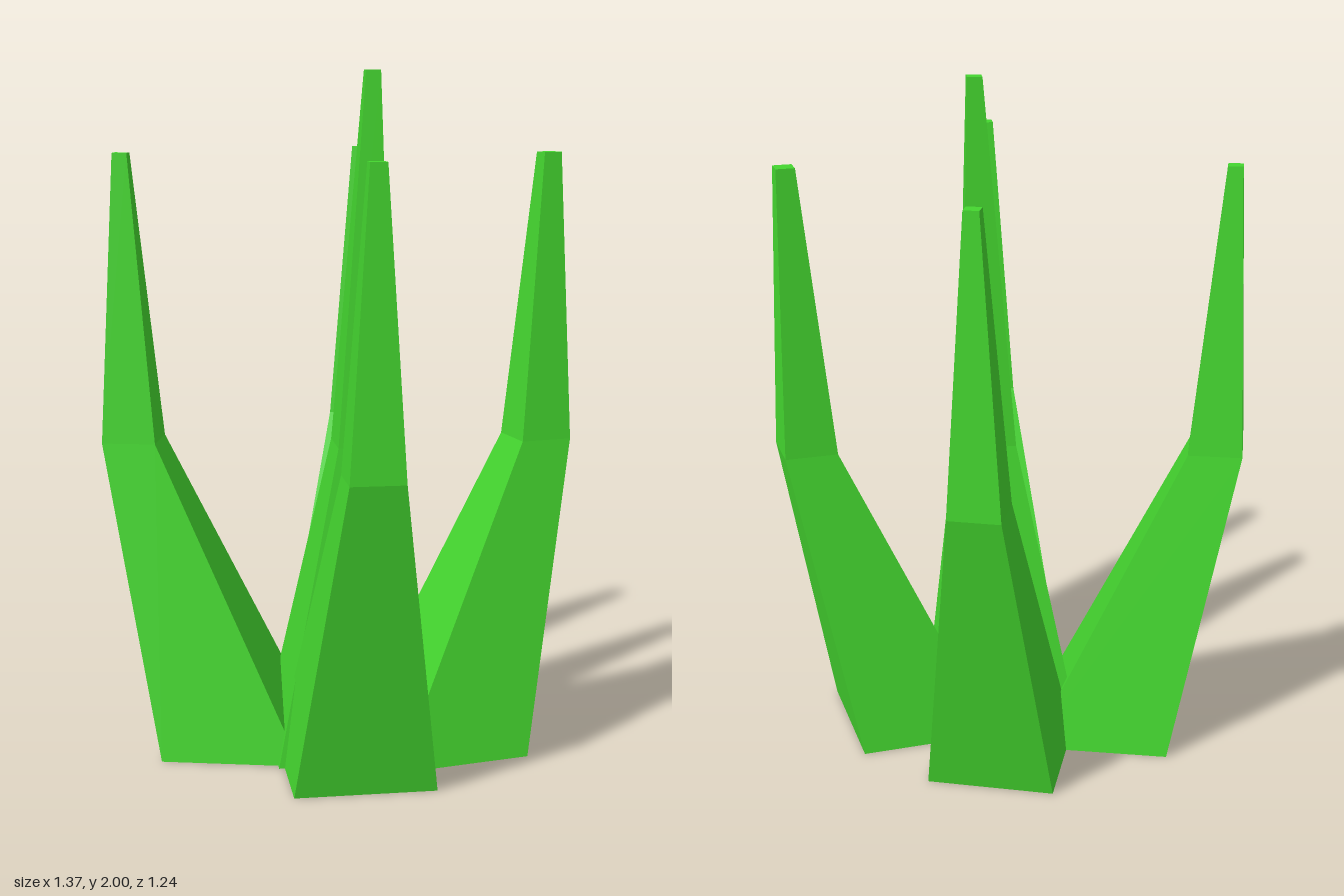
import * as THREE from 'three';

const MID_Y = 0.925;
const material = new THREE.MeshStandardMaterial({ color: 0x44d62f, flatShading: true, side: THREE.DoubleSide });

// Four corners of a turned square, counter-clockwise from above
function square([x, z, size], y, angle) {
  const c = Math.cos(angle), s = Math.sin(angle), h = size / 2;
  return [[-h, -h], [-h, h], [h, h], [h, -h]].map(
    ([u, v]) => [x + u * c - v * s, y, z + u * s + v * c]);
}

// A blade skinned over base, bend and tip squares; open below, capped on top
function blade(name, { base, bend, tip, height, angle }) {
  const rings = [square(base, 0, angle), square(bend, MID_Y, angle), square(tip, height, angle)];
  const positions = [];
  const quad = (a, b, c, d) => positions.push(...a, ...b, ...c, ...a, ...c, ...d);
  for (let r = 0; r < 2; r++) {
    for (let i = 0; i < 4; i++) {
      const j = (i + 1) % 4;
      quad(rings[r][i], rings[r][j], rings[r + 1][j], rings[r + 1][i]);
    }
  }
  quad(...rings[2]);
  const geometry = new THREE.BufferGeometry();
  geometry.setAttribute('position', new THREE.Float32BufferAttribute(positions, 3));
  geometry.computeVertexNormals();
  const mesh = new THREE.Mesh(geometry, material);
  mesh.name = name;
  return mesh;
}

// Each square is [x, z, side length]
const blades = {
  centreBlade: { base: [0.003, 0.007, 0.41], bend: [0.07, 0.018, 0.16], tip: [0.095, -0.017, 0.043], height: 2, angle: -0.23 },
  frontBlade: { base: [0.07, 0.225, 0.407], bend: [0.143, 0.523, 0.154], tip: [0.152, 0.552, 0.047], height: 1.765, angle: -0.236 },
  backBlade: { base: [-0.01, -0.235, 0.37], bend: [0.007, -0.544, 0.15], tip: [0.013, -0.583, 0.043], height: 1.765, angle: 0.05 },
  leftBlade: { base: [0.3, -0.015, 0.407], bend: [0.578, -0.142, 0.154], tip: [0.603, -0.173, 0.054], height: 1.765, angle: -0.43 },
  rightBlade: { base: [-0.295, 0.025, 0.41], bend: [-0.607, 0.025, 0.157], tip: [-0.63, 0.02, 0.043], height: 1.765, angle: 0 },
};

export function createModel() {
  const group = new THREE.Group();
  group.name = 'grassTuft';
  for (const [name, shape] of Object.entries(blades)) group.add(blade(name, shape));
  return group;
}
